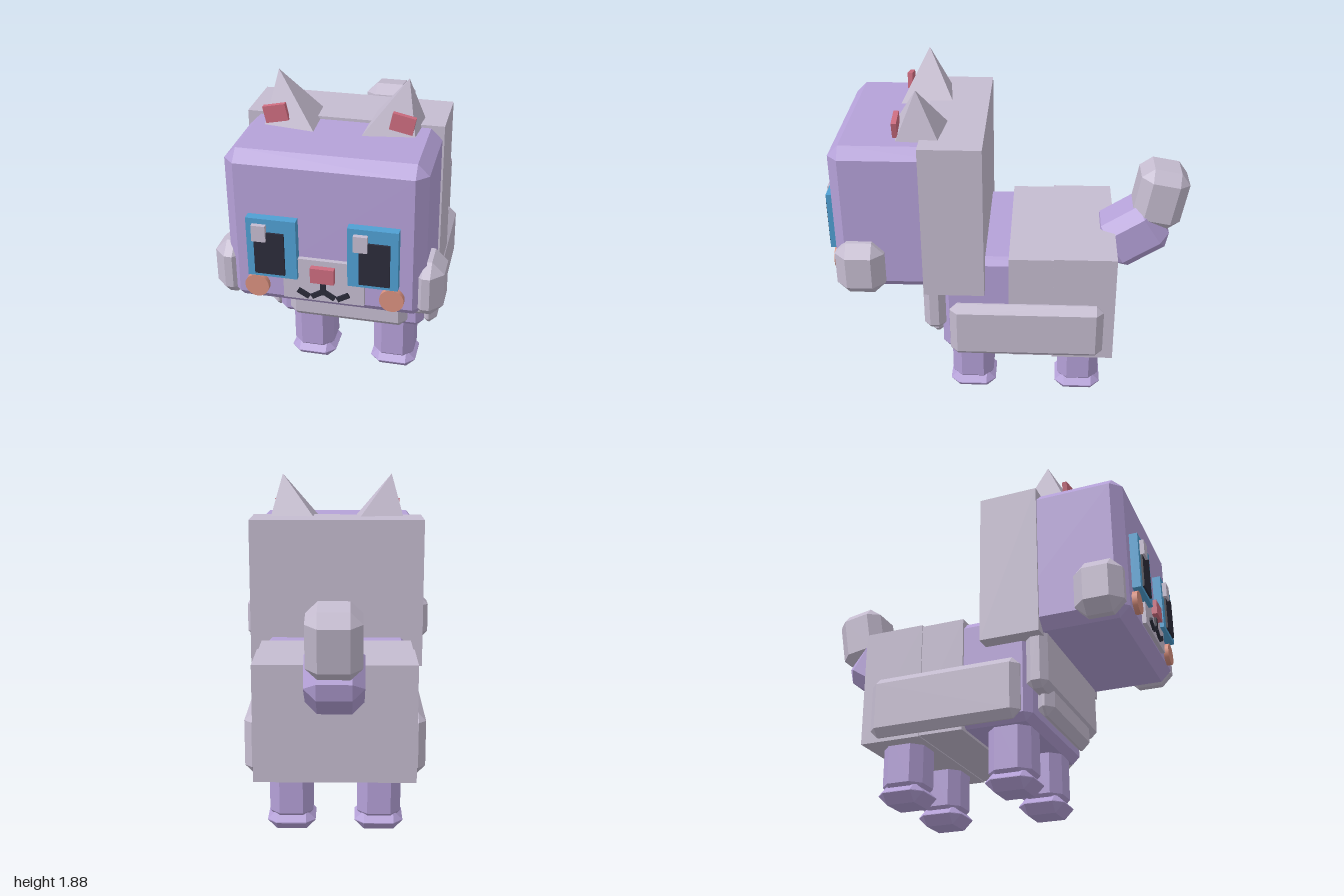
import * as THREE from 'three';
import { ConvexGeometry } from 'three/addons/geometries/ConvexGeometry.js';

const mat = (name, color, side = THREE.FrontSide) => {
  const m = new THREE.MeshStandardMaterial({ color, side });
  m.name = name;
  return m;
};

// Box given by its min/max ranges, with every edge chamfered by c
function chamferGeometry(w, h, d, c) {
  const pts = [];
  for (const x of [-1, 1]) for (const y of [-1, 1]) for (const z of [-1, 1]) {
    const a = w / 2, b = h / 2, e = d / 2;
    pts.push(
      new THREE.Vector3(x * a, y * (b - c), z * (e - c)),
      new THREE.Vector3(x * (a - c), y * b, z * (e - c)),
      new THREE.Vector3(x * (a - c), y * (b - c), z * e));
  }
  return new ConvexGeometry(pts);
}

// Four-sided pyramid; base corners run counter-clockwise seen from above
function pyramidGeometry(apex, base) {
  const pos = [];
  base.forEach((p, i) => pos.push(...p, ...base[(i + 1) % 4], ...apex));
  const g = new THREE.BufferGeometry();
  g.setAttribute('position', new THREE.Float32BufferAttribute(pos, 3));
  g.computeVertexNormals();
  return g;
}

export function createModel() {
  const purple = mat('lavenderFur', 0xb5a1d8);
  const grey = mat('paleGreyFur', 0xc5bcd0);
  const greyEar = mat('paleGreyEar', 0xc5bcd0, THREE.DoubleSide);
  const blue = mat('blueEye', 0x4f9fd2);
  const dark = mat('darkInk', 0x2b2b3a);
  const pink = mat('rosePink', 0xcc6c7f);
  const blush = mat('salmonBlush', 0xd8907f);

  const model = new THREE.Group();
  model.name = 'blockCat';
  const group = (name, parent = model) => {
    const g = new THREE.Group();
    g.name = name;
    parent.add(g);
    return g;
  };
  const add = (parent, name, geo, material, x = 0, y = 0, z = 0) => {
    const m = new THREE.Mesh(geo, material);
    m.name = name;
    m.position.set(x, y, z);
    parent.add(m);
    return m;
  };
  // Block from ranges [min, max]; chamfer 0 gives a plain box
  const block = (parent, name, material, [x0, x1], [y0, y1], [z0, z1], c = 0) => {
    const s = [x1 - x0, y1 - y0, z1 - z0];
    const geo = c ? chamferGeometry(...s, c) : new THREE.BoxGeometry(...s);
    return add(parent, name, geo, material, (x0 + x1) / 2, (y0 + y1) / 2, (z0 + z1) / 2);
  };

  // Body, rump and chest fur
  const body = group('body');
  block(body, 'torso', purple, [-0.42, 0.42], [0.335, 0.945], [-0.5, 0.375], 0.04);
  block(body, 'midBand', grey, [-0.433, 0.433], [0.32, 0.957], [-0.3, 0]);
  block(body, 'rump', grey, [-0.438, 0.438], [0.315, 0.965], [-0.59, -0.245]);
  block(body, 'upperBib', grey, [-0.45, 0.45], [0.49, 0.92], [0.355, 0.475], 0.035);
  block(body, 'lowerBib', grey, [-0.338, 0.338], [0.38, 0.55], [0.365, 0.465], 0.043);
  for (const s of [-1, 1]) {
    const side = s > 0 ? 'left' : 'right';
    const xs = s > 0 ? [0.395, 0.49] : [-0.49, -0.395];
    block(body, side + 'FlankFur', grey, xs, [0.335, 0.672], [-0.53, 0.33], 0.042);
  }

  // Legs and paws
  for (const s of [-1, 1]) for (const [end, z] of [['Front', 0.215], ['Back', -0.4]]) {
    const leg = group((s > 0 ? 'left' : 'right') + end + 'Leg');
    leg.position.set(s * 0.24, 0, z);
    block(leg, 'shin', purple, [-0.119, 0.119], [0.05, 0.45], [-0.119, 0.119], 0.055);
    block(leg, 'paw', purple, [-0.132, 0.132], [0, 0.108], [-0.132, 0.132], 0.052);
  }

  // Tail
  const tail = group('tail');
  add(tail, 'tailBase', chamferGeometry(0.31, 0.305, 0.37, 0.064), purple, 0, 0.92, -0.696)
    .rotation.x = THREE.MathUtils.degToRad(33);
  add(tail, 'tailTip', chamferGeometry(0.286, 0.357, 0.276, 0.062), grey, 0, 1.155, -0.839)
    .rotation.x = THREE.MathUtils.degToRad(-10);

  // Head
  const head = group('head');
  block(head, 'skull', purple, [-0.5, 0.5], [0.79, 1.625], [0.2, 0.93], 0.058);
  block(head, 'mane', grey, [-0.51, 0.51], [0.77, 1.64], [0.13, 0.46]);

  // Ears, cheeks and eyes
  for (const s of [-1, 1]) {
    const side = s > 0 ? 'left' : 'right';
    const base = [[0.385, 1.61, 0.59], [0.405, 1.61, 0.35], [0.12, 1.61, 0.32], [0.11, 1.61, 0.63]]
      .map(([x, y, z]) => [s * x, y, z]);
    if (s < 0) base.reverse();
    add(head, side + 'Ear', pyramidGeometry([s * 0.33, 1.885, 0.475], base), greyEar);
    add(head, side + 'InnerEar', new THREE.BoxGeometry(0.118, 0.088, 0.027), pink, s * 0.32, 1.695, 0.587)
      .rotation.z = -s * 0.21;
    const xs = s > 0 ? [0.42, 0.587] : [-0.587, -0.42];
    block(head, side + 'CheekTuft', grey, xs, [0.79, 1.095], [0.66, 0.922], 0.063);
    add(head, side + 'Blush', new THREE.CylinderGeometry(0.062, 0.062, 0.05, 20), blush, s * 0.343, 0.908, 0.933)
      .rotation.x = Math.PI / 2;

    const eye = group(side + 'Eye', head);
    eye.position.x = s * 0.252;
    block(eye, 'iris', blue, [-0.125, 0.125], [0.982, 1.305], [0.92, 0.976]);
    block(eye, 'pupil', dark, [s * 0.01 - 0.076, s * 0.01 + 0.076], [1.003, 1.235], [0.96, 0.987]);
    block(eye, 'glint', grey, [-0.092, -0.022], [1.19, 1.277], [0.96, 1]);
  }

  // Muzzle, nose and mouth
  block(head, 'muzzle', grey, [-0.205, 0.205], [0.857, 1.09], [0.92, 0.953]);
  block(head, 'nose', pink, [-0.06, 0.06], [0.977, 1.06], [0.93, 0.983]);
  block(head, 'mouthStem', dark, [-0.014, 0.014], [0.9, 0.985], [0.93, 0.966]);
  for (const s of [-1, 1]) {
    const stroke = (name, x, y, angle) =>
      add(head, name, new THREE.BoxGeometry(0.066, 0.026, 0.035), dark, s * x, y, 0.948).rotation.z = s * angle;
    stroke('mouthInner', 0.03, 0.9, -0.55);
    stroke('mouthOuter', 0.1, 0.897, 0.52);
  }
  return model;
}
